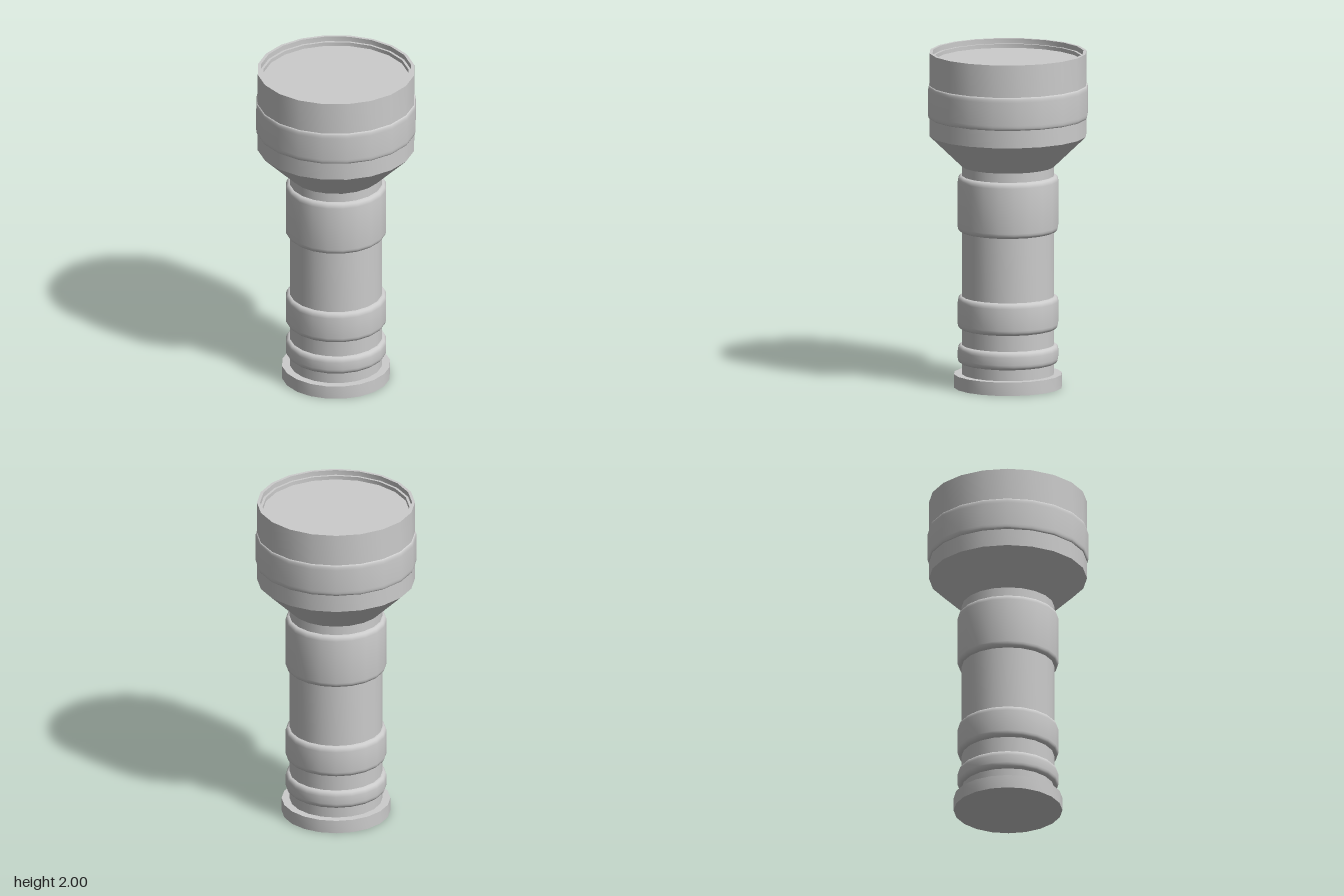
import * as THREE from 'three';
import { toCreasedNormals } from 'three/addons/utils/BufferGeometryUtils.js';

const SIDES = 20;
const material = new THREE.MeshStandardMaterial({ color: 0xcccccc });

// Turned part from a profile of [radius, height] pairs, listed bottom to top on the outside
function turned(name, profile) {
  const points = profile.map(([r, y]) => new THREE.Vector2(r, y));
  const geometry = toCreasedNormals(new THREE.LatheGeometry(points, SIDES), 0.6);
  const mesh = new THREE.Mesh(geometry, material);
  mesh.name = name;
  return mesh;
}

// Raised band with rounded shoulders around a tube of radius inner
function band(name, inner, outer, bottom, top, round) {
  const profile = [[inner - 0.01, bottom]];
  const steps = 4;
  const bulge = outer - inner;
  for (let i = 0; i <= steps; i++) {
    const a = (i / steps) * Math.PI / 2;
    profile.push([inner + bulge * Math.sin(a), bottom + round * (1 - Math.cos(a))]);
  }
  for (let i = steps; i >= 0; i--) {
    const a = (i / steps) * Math.PI / 2;
    profile.push([inner + bulge * Math.sin(a), top - round * (1 - Math.cos(a))]);
  }
  profile.push([inner - 0.01, top]);
  return turned(name, profile);
}

export function createModel() {
  const model = new THREE.Group();
  model.name = 'flashlight';

  // End cap and straight handle
  model.add(turned('endCap', [[0, 0], [0.32, 0], [0.32, 0.08], [0.27, 0.08]]));
  model.add(turned('handle', [[0.273, 0.07], [0.273, 1.325]]));

  // Flared head, with a stepped rim leading down to the lens
  model.add(turned('head', [
    [0.273, 1.32], [0.465, 1.505], [0.465, 2], [0.447, 2],
    [0.447, 1.97], [0.432, 1.97], [0.432, 1.945],
  ]));
  model.add(turned('lens', [[0.434, 1.947], [0, 1.947]]));

  // Grip bands on the handle, and a shallow one on the head
  const grips = [
    ['rearBand', 0.145, 0.255],
    ['middleBand', 0.35, 0.545],
    ['frontGrip', 0.93, 1.265],
  ];
  for (const [name, bottom, top] of grips) {
    model.add(band(name, 0.273, 0.298, bottom, top, 0.032));
  }
  model.add(band('headBand', 0.465, 0.474, 1.61, 1.807, 0.03));

  return model;
}
